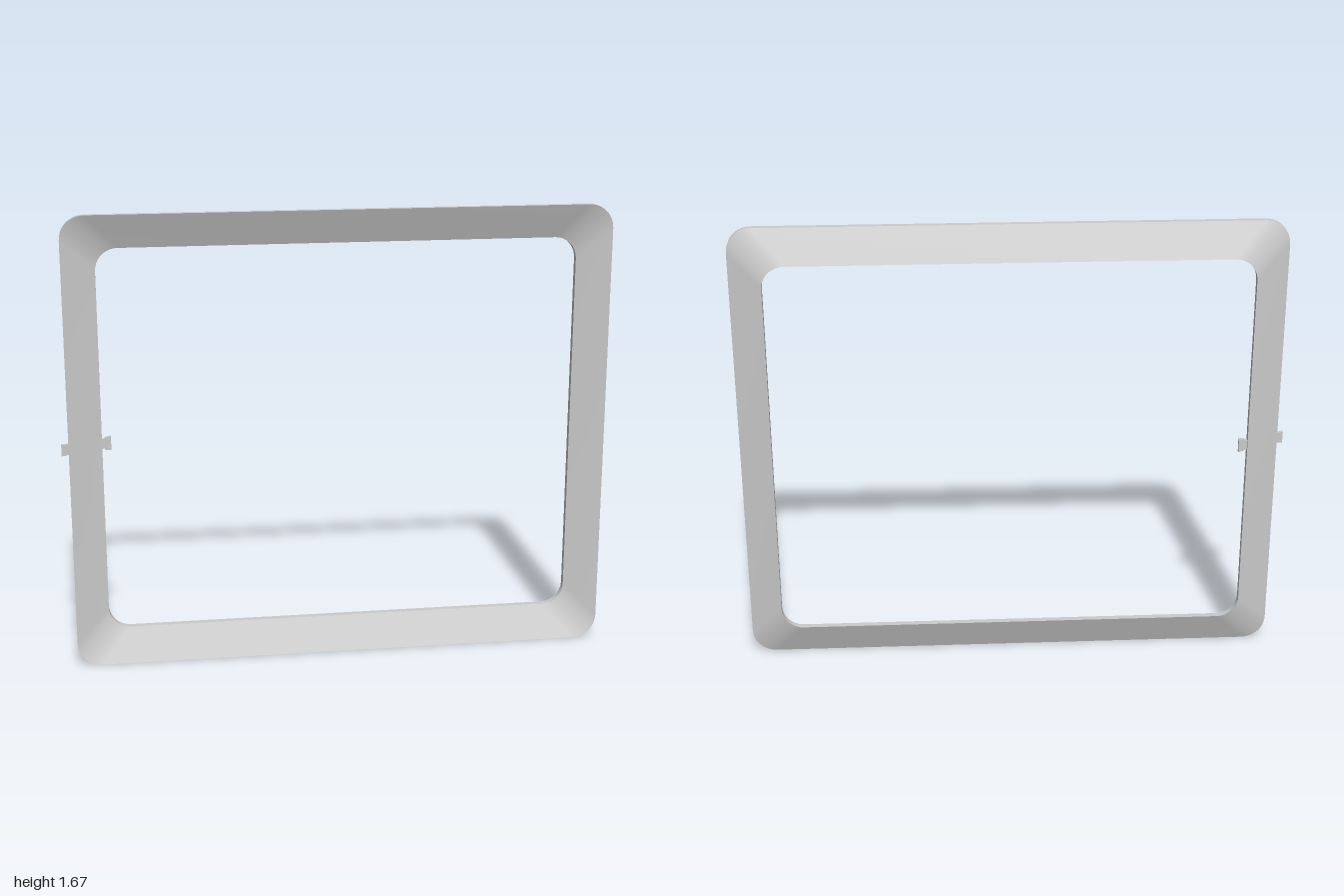
import * as THREE from 'three';
import { toCreasedNormals } from 'three/addons/utils/BufferGeometryUtils.js';

const CX = 0.0125, CY = 0.8375;
const material = new THREE.MeshStandardMaterial({ color: 0xcccccc });

// Counter-clockwise rounded rectangle, the same point count for every size
function roundedLoop(halfW, halfH, r, z, steps = 10) {
  const points = [];
  [[1, 1], [-1, 1], [-1, -1], [1, -1]].forEach(([sx, sy], corner) => {
    for (let i = 0; i <= steps; i++) {
      const a = (corner + i / steps) * Math.PI / 2;
      points.push([
        CX + sx * (halfW - r) + r * Math.cos(a),
        CY + sy * (halfH - r) + r * Math.sin(a),
        z,
      ]);
    }
  });
  return points;
}

// Joins closed loops into a ring-shaped solid
function loftRing(loops) {
  const positions = [];
  loops.forEach((a, k) => {
    const b = loops[(k + 1) % loops.length];
    a.forEach((p, i) => {
      const j = (i + 1) % a.length;
      positions.push(...p, ...b[i], ...b[j], ...p, ...b[j], ...a[j]);
    });
  });
  const geometry = new THREE.BufferGeometry();
  geometry.setAttribute('position', new THREE.Float32BufferAttribute(positions, 3));
  return toCreasedNormals(geometry, Math.PI / 6);
}

// Thin tab between two x positions, slanted in z along its length
function makeTab(name, x0, z0, x1, z1, height0, height1) {
  const geometry = new THREE.BoxGeometry(1, 1, 0.012);
  const p = geometry.attributes.position;
  for (let i = 0; i < p.count; i++) {
    const t = p.getX(i) + 0.5;
    p.setXYZ(
      i,
      THREE.MathUtils.lerp(x0, x1, t),
      CY + p.getY(i) * THREE.MathUtils.lerp(height0, height1, t),
      p.getZ(i) + THREE.MathUtils.lerp(z0, z1, t),
    );
  }
  geometry.computeVertexNormals();
  const mesh = new THREE.Mesh(geometry, material);
  mesh.name = name;
  return mesh;
}

export function createModel() {
  const group = new THREE.Group();
  group.name = 'bezelFrame';

  // Sloping frame: outer front, outer back, inner back, inner front edges
  const frame = new THREE.Mesh(loftRing([
    roundedLoop(0.9875, 0.8375, 0.088, 0.034),
    roundedLoop(0.9875, 0.8375, 0.088, 0.010),
    roundedLoop(0.868, 0.713, 0.08, -0.042),
    roundedLoop(0.868, 0.713, 0.08, -0.018),
  ]), material);
  frame.name = 'frame';
  group.add(frame);

  // Latch tabs on the right-hand side of the frame
  group.add(
    makeTab('outerTab', -1, 0.036, -0.97, 0.024, 0.043, 0.038),
    makeTab('innerTabNeck', -0.87, -0.024, -0.843, -0.031, 0.036, 0.036),
    makeTab('innerTabHead', -0.846, -0.030, -0.823, -0.036, 0.045, 0.052),
  );
  return group;
}
